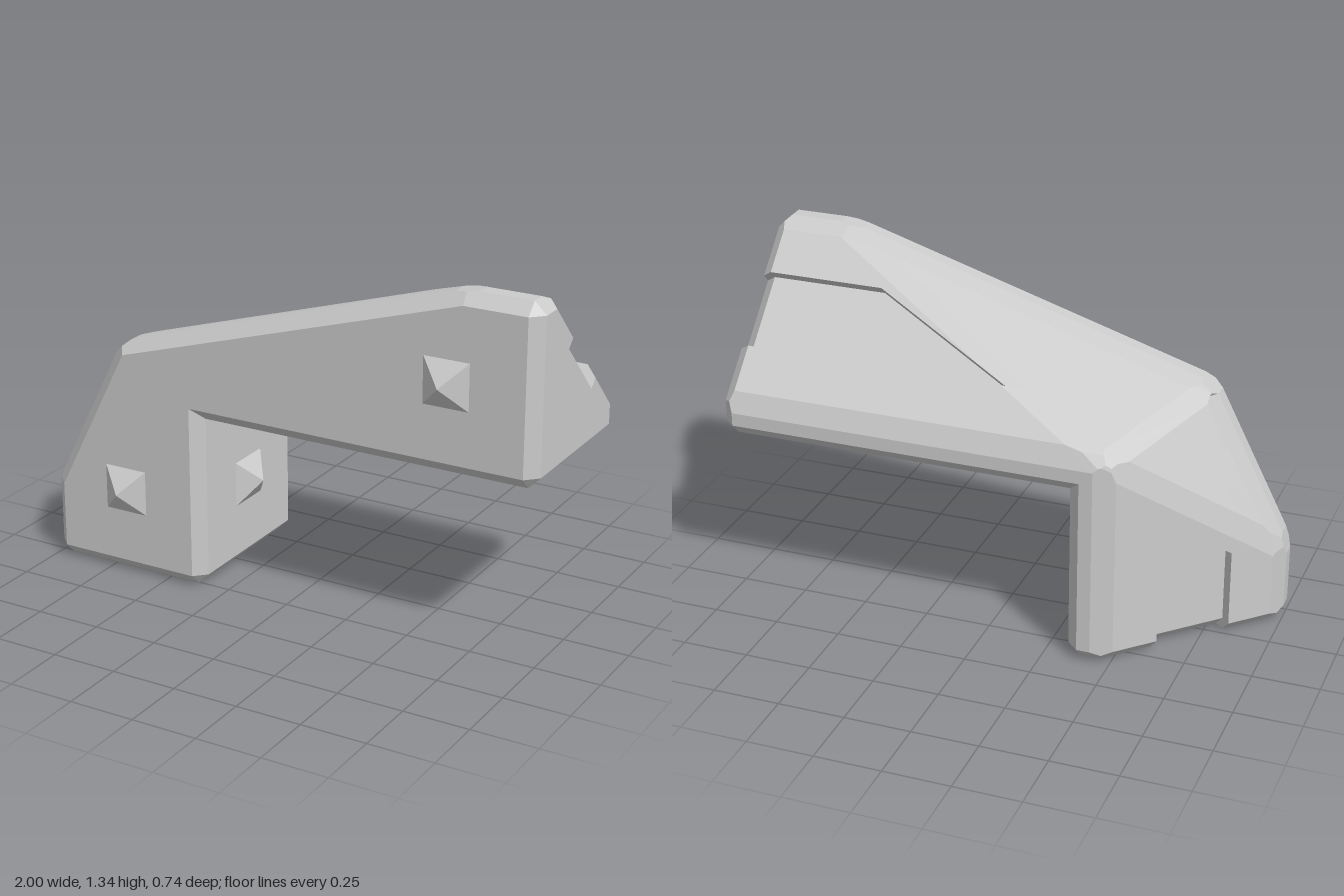
import * as THREE from 'three';

const BEVEL = 0.045;
const V = (x, y, z) => new THREE.Vector3(x, y, z);

// A half-space n.p <= w; hidden planes cut the solid but draw no face
const half = (n, w, hidden = false) => {
  const l = n.length();
  return { n: n.clone().divideScalar(l), w: w / l, hidden };
};
const through = (n, p) => half(n, n.dot(p));
const facet = (a, b, c) => {
  const n = b.clone().sub(a).cross(c.clone().sub(a));
  if (n.dot(a.clone().sub(V(-0.4, 0.6, 0))) < 0) n.negate();
  return through(n, a);
};

// Bevel planes for every edge, plus corner triangles where three square faces meet
function bevels(planes) {
  const out = [];
  planes.forEach((a, i) => planes.slice(i + 1).forEach((b, j) => {
    const n = a.n.clone().add(b.n), l = n.length();
    if (l < 0.05) return;
    const depth = BEVEL * a.n.distanceTo(b.n) / 2;
    out.push(half(n, a.w + b.w - depth * l));
    planes.slice(i + j + 2).forEach((c) => {
      const square = [a.n.dot(b.n), b.n.dot(c.n), a.n.dot(c.n)].every((d) => Math.abs(d) < 1e-6);
      if (square) out.push(half(n.clone().add(c.n), a.w + b.w + c.w - 2 * BEVEL));
    });
  }));
  return out;
}

// Convex solid bounded by half-spaces: find corners, then fan each face
function convexSolid(planes) {
  const corners = [], bc = V(), ca = V(), ab = V(), p = V();
  for (let i = 0; i < planes.length; i++)
    for (let j = i + 1; j < planes.length; j++) {
      ab.crossVectors(planes[i].n, planes[j].n);
      for (let k = j + 1; k < planes.length; k++) {
        const A = planes[i], B = planes[j], C = planes[k];
        const det = ab.dot(C.n);
        if (Math.abs(det) < 1e-5) continue;
        bc.crossVectors(B.n, C.n);
        ca.crossVectors(C.n, A.n);
        p.set(0, 0, 0).addScaledVector(bc, A.w).addScaledVector(ca, B.w).addScaledVector(ab, C.w).divideScalar(det);
        if (planes.some((q) => q.n.dot(p) > q.w + 1e-6)) continue;
        if (!corners.some((q) => q.distanceTo(p) < 1e-4)) corners.push(p.clone());
      }
    }
  const pos = [];
  for (const { n, w, hidden } of planes) {
    if (hidden) continue;
    const ring = corners.filter((c) => Math.abs(n.dot(c) - w) < 2e-5);
    if (ring.length < 3) continue;
    const mid = ring.reduce((s, c) => s.add(c), V()).divideScalar(ring.length);
    const u = ring[0].clone().sub(mid).normalize(), v = n.clone().cross(u);
    const angle = (c) => { const d = c.clone().sub(mid); return Math.atan2(d.dot(v), d.dot(u)); };
    ring.sort((a, b) => angle(a) - angle(b));
    for (let i = 1; i < ring.length - 1; i++)
      for (const c of [ring[0], ring[i], ring[i + 1]]) pos.push(c.x, c.y, c.z);
  }
  const g = new THREE.BufferGeometry();
  g.setAttribute('position', new THREE.Float32BufferAttribute(pos, 3));
  g.computeVertexNormals();
  return g;
}

export function createModel() {
  const model = new THREE.Group();
  const mat = new THREE.MeshStandardMaterial({ color: 0xcccccc, flatShading: true });
  const add = (parent, name, geo) => {
    const m = new THREE.Mesh(geo, mat);
    m.name = name;
    parent.add(m);
    return m;
  };

  // Key corners of the outer surface
  const armTop = V(0.71, 1.335, 0.155), elbow = V(-0.696, 0.908, 0.155);
  const backCorner = V(-0.475, 0.81, -0.37), legSide = V(-1, 0.31, 0.155);
  const alongZ = (a, b) => facet(a, b, b.clone().add(V(0, 0, 0.1)));

  // Faces shared by arm and leg
  const shared = [
    half(V(0, 0, 1), 0.3), half(V(0, 0, -1), 0.37),
    half(V(0, 1, 0), 1.335), half(V(-1, 0, 0), 1),
    alongZ(armTop, elbow), alongZ(elbow, legSide),
    facet(armTop, elbow, backCorner), facet(elbow, backCorner, legSide),
  ];
  const armSlope = through(V(0, 1, -1), armTop);
  const legSlope = through(V(-1, 0, -1), legSide);
  const lowered = (s) => half(s.n, s.w - 0.044);

  // One limb: a body sunk to the groove floor, with raised blocks around the groove
  function limb(name, ends, slope, otherSlope, miter, blocks) {
    const g = new THREE.Group();
    g.name = name;
    const build = (s, cut) => {
      const faces = [...shared, ...ends, s, otherSlope];
      return convexSolid([...faces, ...bevels(faces), miter, ...cut]);
    };
    add(g, name + 'Body', build(lowered(slope), []));
    for (const [label, cut] of blocks) add(g, name + label, build(slope, [cut]));
    model.add(g);
  }

  limb('arm', [half(V(0, -1, 0), -0.67), half(V(1, 0, 0), 1)], armSlope, legSlope,
    half(V(-1, -1, 0), -0.335, true), [
      ['UpperRail', half(V(0, -1, -1), -1.177)],
      ['LowerRail', half(V(0, 1, 1), 0.757)],
      ['GrooveEnd', half(V(1, -1.333, -1.333), -1.059)],
    ]);
  limb('leg', [half(V(1, 0, 0), -0.335), half(V(0, -1, 0), 0)], legSlope, armSlope,
    half(V(1, 1, 0), 0.335, true), [
      ['OuterRail', half(V(1, 0, -1), -0.842)],
      ['InnerRail', half(V(-1, 0, 1), 0.422)],
      ['GrooveEnd', half(V(0.45, -1, -0.45), -0.719)],
    ]);

  // Four-sided studs: base centre and pointing direction
  const studs = [
    ['frontStud', V(0.66, 1.005, 0.3), V(0, 0, 1)],
    ['frontStud', V(-0.667, 0.335, 0.3), V(0, 0, 1)],
    ['innerStud', V(-0.335, 0.335, -0.033), V(1, 0, 0)],
    ['undersideStud', V(0, 0.67, -0.033), V(0, -1, 0)],
    ['undersideStud', V(0.667, 0.67, -0.033), V(0, -1, 0)],
  ];
  const studGeo = new THREE.ConeGeometry(0.175 / Math.SQRT2, 0.067, 4, 1, true);
  studGeo.rotateY(Math.PI / 4).translate(0, 0.0335, 0);
  for (const [name, at, dir] of studs) {
    const s = add(model, name, studGeo);
    s.position.copy(at);
    s.quaternion.setFromUnitVectors(V(0, 1, 0), dir);
  }
  return model;
}
